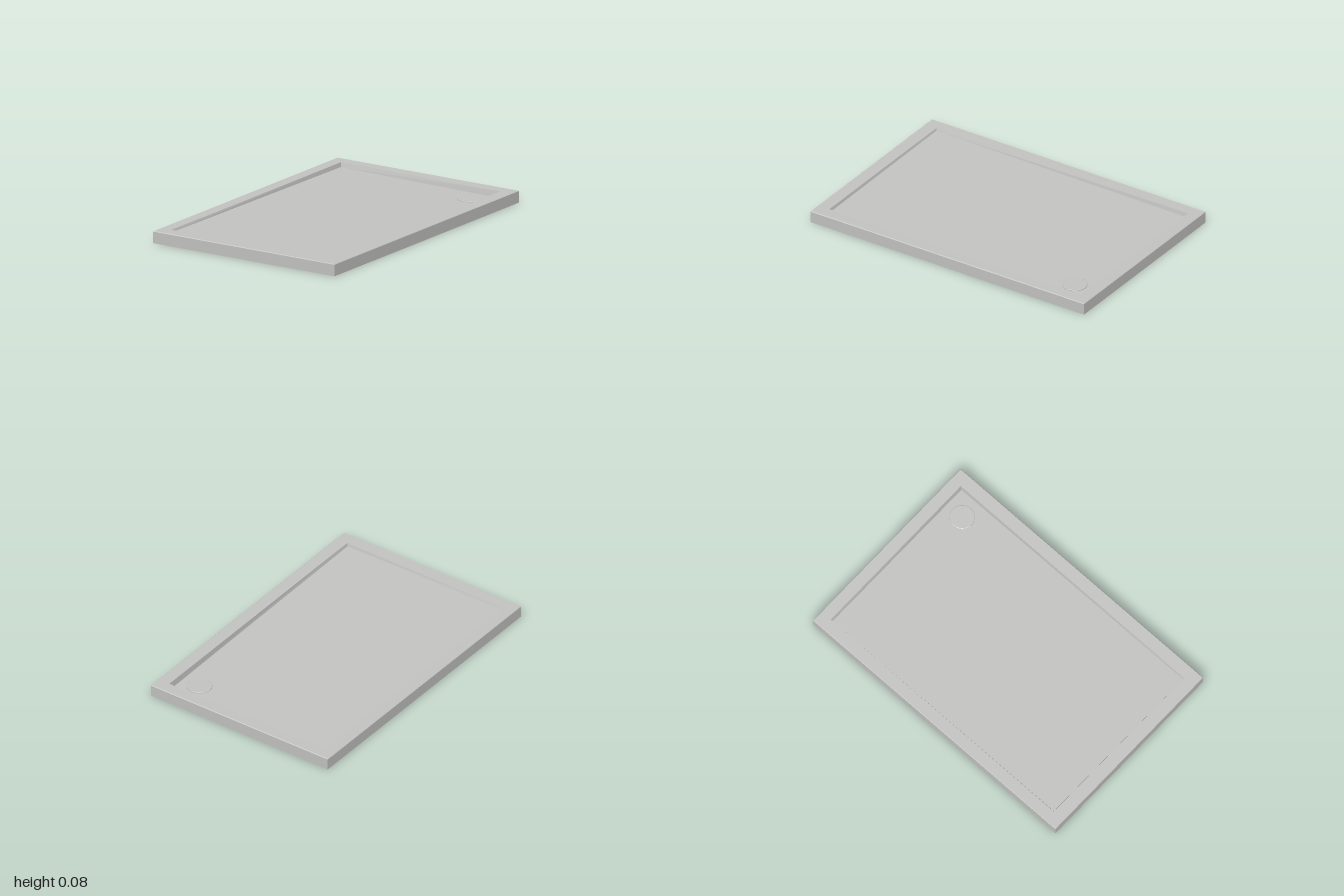
import * as THREE from 'three';

const W = 0.665, L = 1, H = 0.077;

// Four corners of a rectangle: back-right, front-right, front-left, back-left
function ring(x0, x1, z0, z1, y) {
  const h = Array.isArray(y) ? y : [y, y, y, y];
  return [[x0, h[0], z0], [x0, h[1], z1], [x1, h[2], z1], [x1, h[3], z0]];
}

// Flat quads joining each ring to the next, with an optional closing face
function loft(rings, cap) {
  const pos = [];
  const quad = (a, b, c, d) => pos.push(...a, ...b, ...c, ...a, ...c, ...d);
  for (let r = 0; r < rings.length - 1; r++) {
    for (let i = 0; i < 4; i++) {
      const j = (i + 1) % 4;
      quad(rings[r][i], rings[r][j], rings[r + 1][j], rings[r + 1][i]);
    }
  }
  if (cap) {
    const [a, b, c, d] = rings[rings.length - 1];
    quad(a, b, c, d);
  }
  const g = new THREE.BufferGeometry();
  g.setAttribute('position', new THREE.Float32BufferAttribute(pos, 3));
  g.computeVertexNormals();
  return g;
}

export function createModel() {
  const model = new THREE.Group();
  model.name = 'showerTray';
  const enamel = new THREE.MeshStandardMaterial({ color: 0xc4c4c2, side: THREE.DoubleSide });
  enamel.name = 'greyEnamel';

  const add = (name, geometry) => {
    const mesh = new THREE.Mesh(geometry, enamel);
    mesh.name = name;
    model.add(mesh);
    return mesh;
  };

  // Floor heights fall towards the drain corner
  const floorY = [H - 0.028, H - 0.014, H - 0.02, H - 0.042];
  const lip = ring(-0.588, 0.582, -0.922, 0.917, H);
  const floor = ring(-0.583, 0.577, -0.914, 0.912, floorY);
  const b = 0.004;

  // Open-bottomed skirt with a slightly eased top edge, then the flat rim
  add('skirtAndRim', loft([
    ring(-W, W, -L, L, 0),
    ring(-W, W, -L, L, H - b),
    ring(-W + b, W - b, -L + b, L - b, H),
    lip,
  ], false));

  // Shallow sloping basin
  add('basin', loft([lip, floor], true));

  // Round drain cover with an eased edge, standing just proud of the floor
  const cover = add('drainCover', new THREE.LatheGeometry([
    [0, -0.006], [0.077, -0.006], [0.077, -0.006], [0.077, 0.004],
    [0.077, 0.004], [0.074, 0.006], [0.074, 0.006], [0, 0.006],
  ].map(([x, y]) => new THREE.Vector2(x, y)), 48));
  cover.position.set(0.45, 0.038, -0.79);

  return model;
}
